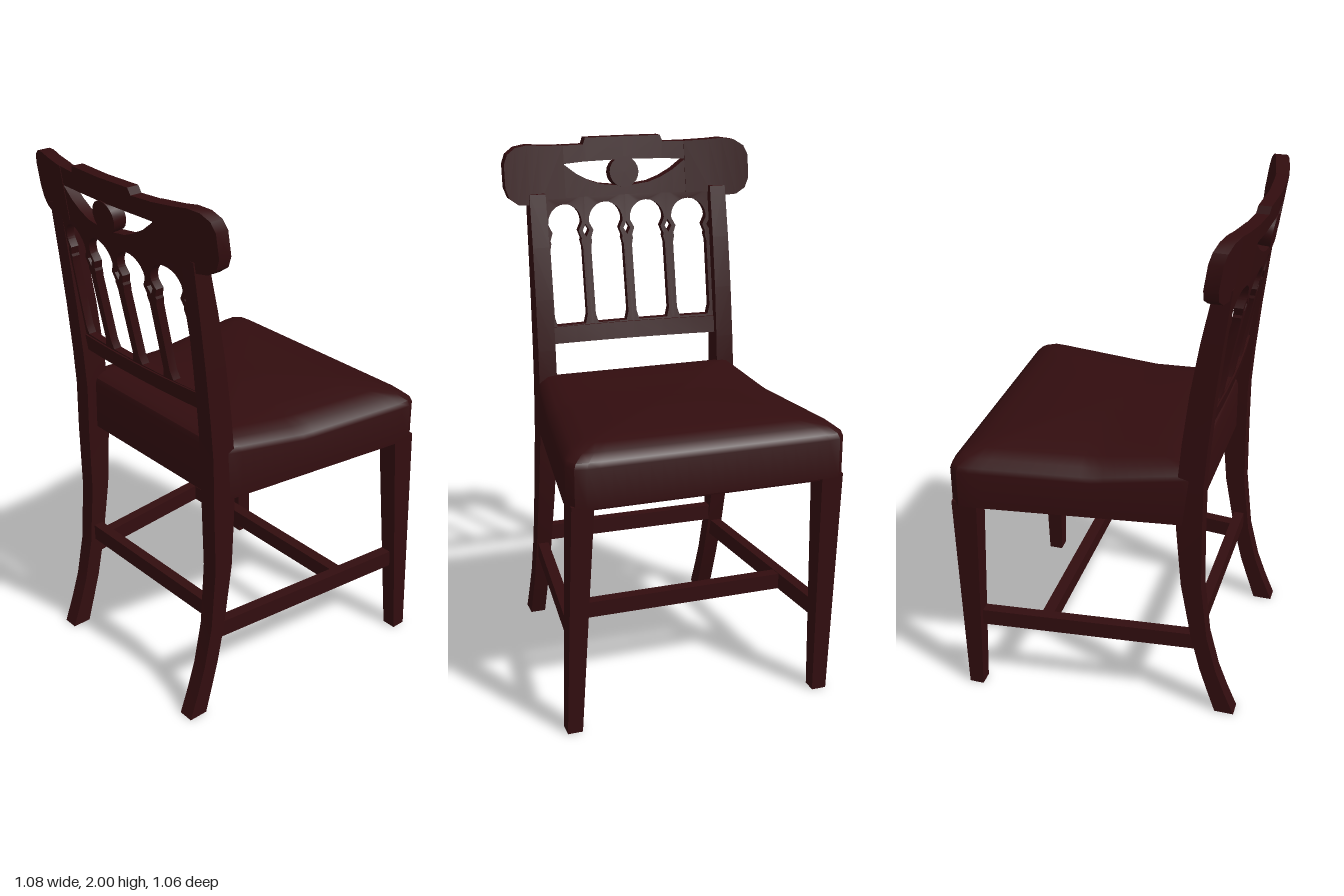
import * as THREE from 'three';
import { toCreasedNormals } from 'three/addons/utils/BufferGeometryUtils.js';

const wood = new THREE.MeshStandardMaterial({ color: 0x320d0f });
wood.name = 'dark mahogany';

// Solid through a list of equal-length rings of [x, y, z], capped at both ends
function loft(rings) {
  const n = rings[0].length;
  const pos = rings.flat(2);
  const idx = [];
  for (let r = 0; r < rings.length - 1; r++) {
    for (let i = 0; i < n; i++) {
      const a = r * n + i, b = r * n + (i + 1) % n;
      idx.push(a, b, b + n, a, b + n, a + n);
    }
  }
  [rings[0], rings[rings.length - 1]].forEach((ring, end) => {
    const c = pos.length / 3, base = end ? (rings.length - 1) * n : 0;
    for (let k = 0; k < 3; k++) pos.push(ring.reduce((s, p) => s + p[k], 0) / n);
    for (let i = 0; i < n; i++) {
      const a = base + i, b = base + (i + 1) % n;
      if (end) idx.push(a, b, c); else idx.push(b, a, c);
    }
  });
  // Turn the faces outward if the solid came out inverted
  const p = (i) => new THREE.Vector3(pos[i * 3], pos[i * 3 + 1], pos[i * 3 + 2]);
  let volume = 0;
  for (let i = 0; i < idx.length; i += 3) volume += p(idx[i]).dot(p(idx[i + 1]).cross(p(idx[i + 2])));
  if (volume < 0) idx.reverse();
  const g = new THREE.BufferGeometry();
  g.setAttribute('position', new THREE.Float32BufferAttribute(pos, 3));
  g.setIndex(idx);
  return g;
}

// Leaning, bowed surface of the backrest: x for a given height and z
function backX(y, z) {
  const bow = THREE.MathUtils.mapLinear(y, 1.28, 1.77, 0.02, 0.05);
  return -0.37 - 0.146 * (y - 1.28) - Math.min(bow, 0.05) * (1 - (z / 0.4) ** 2);
}

// Strip following the backrest, from columns of [z, low y, high y]
function band(columns, depth) {
  const d = depth / 2;
  return loft(columns.map(([z, lo, hi]) => [
    [backX(lo, z) - d, lo, z], [backX(lo, z) + d, lo, z],
    [backX(hi, z) + d, hi, z], [backX(hi, z) - d, hi, z],
  ]));
}

const mirrored = (cols) => [...cols, ...cols.filter((c) => c[0] !== 0).reverse().map(([z, a, b]) => [-z, a, b])];

// Straight rectangular bar between two points
function bar(a, b, height, depth) {
  const from = new THREE.Vector3(...a), to = new THREE.Vector3(...b);
  const g = new THREE.BoxGeometry(depth, height, from.distanceTo(to));
  const m = new THREE.Matrix4().lookAt(to, from, new THREE.Vector3(0, 1, 0));
  return g.applyMatrix4(m).translate(...from.add(to).multiplyScalar(0.5).toArray());
}

// Leg from sections of [y, x0, x1, z0, z1]; the feet lean slightly to one side
function leg(sections, side) {
  return loft(sections.map(([y, x0, x1, z0, z1]) => {
    const s = 0.03 * Math.max(0, 1 - y / 0.85);
    const a = side * z0 + s, b = side * z1 + s;
    return [[x0, y, a], [x1, y, a], [x1, y, b], [x0, y, b]];
  }));
}

// One arched bay of the splat, with half a slat on each side
function archBay(z) {
  const h = 0.086, a = 0.069;
  const outer = [[h, 1.27], [h, 1.62], [h - 0.014, 1.645], [h, 1.67], [h, 1.785]];
  const inner = [[a - 0.01, 1.285], [a, 1.32], [a, 1.45], [a, 1.58], [a - 0.006, 1.605],
    [a - 0.003, 1.615], [a - 0.014, 1.645], [a, 1.672]];
  for (let i = 0; i <= 6; i++) {
    const t = i / 6 * Math.PI / 2;
    inner.push([0.071 * Math.cos(t), 1.68 + 0.071 * Math.sin(t)]);
  }
  const outline = (half) => [...half, ...half.filter((p) => p[0] > 1e-6).reverse().map(([u, v]) => [-u, v])]
    .map(([u, v]) => new THREE.Vector2(u, v));
  const shape = new THREE.Shape(outline(outer));
  shape.holes.push(new THREE.Path(outline(inner)));
  const g = new THREE.ExtrudeGeometry(shape, { depth: 0.032, bevelEnabled: false });
  g.translate(0, 0, -0.016).rotateY(Math.PI / 2).translate(0, 0, z);
  const p = g.attributes.position;
  for (let i = 0; i < p.count; i++) p.setX(i, p.getX(i) + backX(p.getY(i), p.getZ(i)));
  return g;
}

// Upholstered trapezoid seat: rings of [inset, y] with rounded corners
function seatGeometry() {
  const s = new THREE.Shape();
  s.moveTo(-0.36, -0.41);
  s.lineTo(0.46, -0.522);
  s.quadraticCurveTo(0.53, -0.53, 0.53, -0.46);
  s.lineTo(0.53, 0.46);
  s.quadraticCurveTo(0.53, 0.53, 0.46, 0.522);
  s.lineTo(-0.36, 0.41);
  s.closePath();
  const outline = s.getSpacedPoints(80).slice(0, -1);
  const levels = [[0.95, 0.82], [0.5, 0.828], [0.06, 0.853], [0.05, 0.87], [0, 0.87], [0, 1.015], [0.015, 1.035],
    [0.08, 1.06], [0.2, 1.075], [0.4, 1.088], [0.65, 1.097], [0.95, 1.1]];
  return loft(levels.map(([t, y]) => outline.map((p) => {
    const x = THREE.MathUtils.lerp(p.x, 0.08, t);
    const rise = y > 1 ? 0.045 * (1 - t) * Math.max(0, -x / 0.36) : 0;
    return [x, y + rise, p.y * (1 - t)];
  })));
}

export function createModel() {
  const chair = new THREE.Group();
  chair.name = 'chair';
  const add = (name, g, crease = 0.5) => {
    const mesh = new THREE.Mesh(toCreasedNormals(g, crease), wood);
    mesh.name = name;
    chair.add(mesh);
  };

  add('seat', seatGeometry(), 0.6);

  // Legs: the rear ones sweep up into the back posts
  const rear = [[0, -0.54, -0.465, 0.35, 0.41], [0.1, -0.5, -0.433, 0.35, 0.41], [0.2, -0.465, -0.402, 0.35, 0.41],
    [0.36, -0.427, -0.365, 0.35, 0.412], [0.6, -0.402, -0.325, 0.348, 0.415], [0.85, -0.4, -0.305, 0.345, 0.415],
    [1.05, -0.4, -0.305, 0.34, 0.412], [1.2, -0.41, -0.317, 0.34, 0.41], [1.4, -0.428, -0.34, 0.34, 0.408],
    [1.6, -0.45, -0.372, 0.34, 0.406], [1.8, -0.474, -0.412, 0.34, 0.404]];
  const front = [[0, 0.46, 0.516, 0.456, 0.512], [0.88, 0.425, 0.522, 0.43, 0.512]];
  for (const side of [1, -1]) {
    const label = side > 0 ? 'left' : 'right';
    add(label + 'RearLegAndPost', leg(rear, side));
    add(label + 'FrontLeg', leg(front, side));
    add(label + 'Stretcher', bar([-0.4, 0.328, side * 0.38 + 0.018], [0.48, 0.328, side * 0.47 + 0.018], 0.066, 0.042));
  }
  add('middleStretcher', bar([0.2, 0.328, -0.425], [0.2, 0.328, 0.46], 0.062, 0.045));
  add('rearStretcher', bar([-0.385, 0.4, -0.35], [-0.385, 0.405, 0.37], 0.064, 0.04));

  // Backrest: lower rail and four arched bays
  add('lowerRail', band([-0.36, -0.24, -0.12, 0, 0.12, 0.24, 0.36].map((z) => [z, 1.215 + 0.01 * z, 1.28 + 0.01 * z]), 0.045));
  for (let i = 0; i < 4; i++) add('archBay', archBay((i - 1.5) * 0.172));

  // Crest rail: rounded ends joined by an upper and a lower strip
  const end = [[0.5, 1.83, 1.92], [0.485, 1.79, 1.955], [0.45, 1.765, 1.978], [0.4, 1.76, 1.985],
    [0.35, 1.775, 1.98], [0.25, 1.775, 1.975]];
  add('crestLeftEnd', band(end, 0.05));
  add('crestRightEnd', band(end.map(([z, a, b]) => [-z, a, b]), 0.05));
  add('crestTop', band(mirrored([[0.25, 1.905, 1.975], [0.165, 1.91, 1.975], [0.155, 1.91, 2], [0, 1.912, 2]]), 0.045));
  add('crestSwag', band(mirrored([[0.25, 1.775, 1.903], [0.2, 1.775, 1.865], [0.15, 1.775, 1.838],
    [0.1, 1.775, 1.82], [0, 1.775, 1.808]]), 0.045));

  // Round boss in the middle of the crest opening
  const boss = new THREE.CylinderGeometry(0.06, 0.06, 0.05, 20);
  boss.rotateZ(Math.PI / 2 + 0.146).translate(backX(1.86, 0), 1.86, 0);
  add('crestBoss', boss);

  return chair;
}
